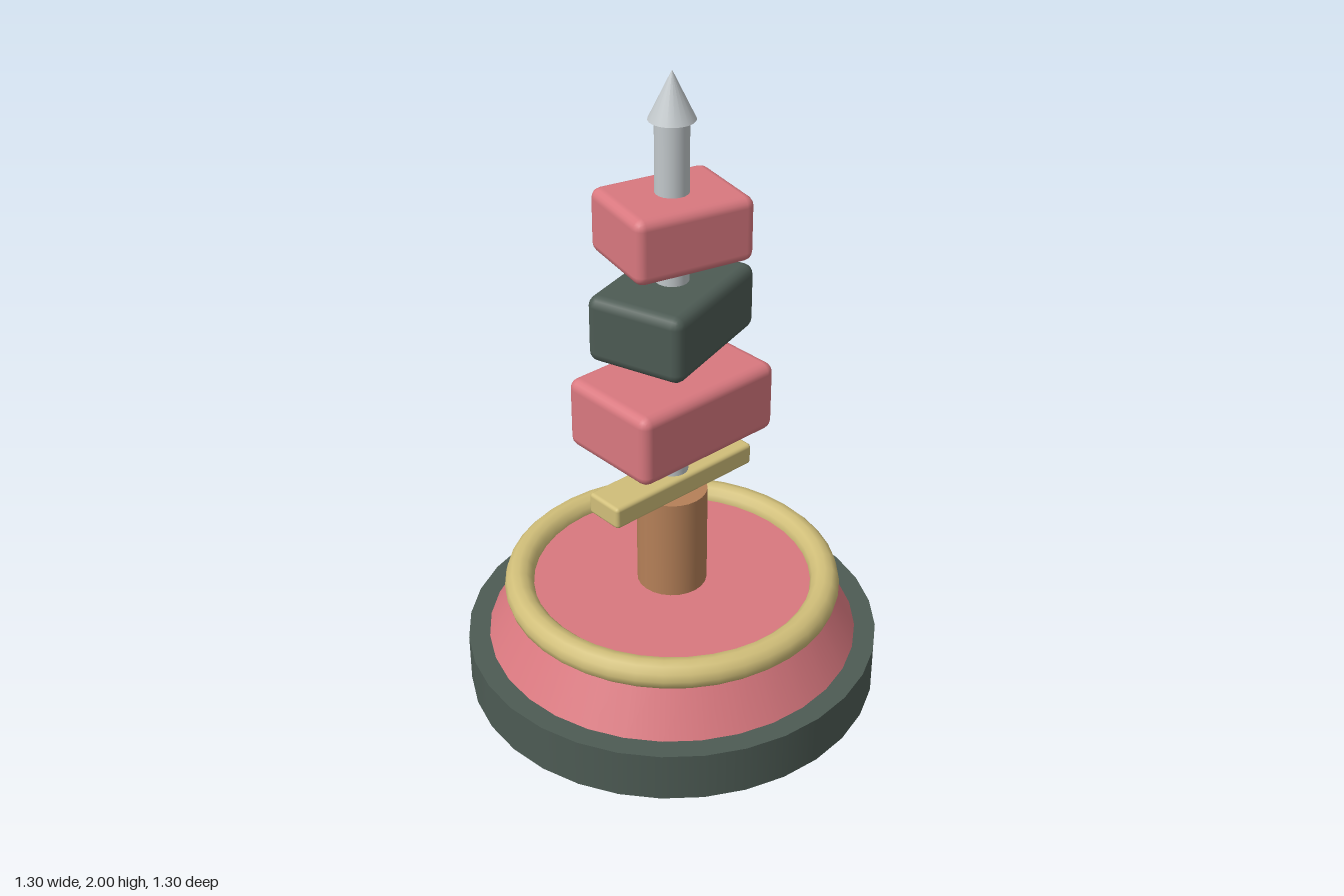
import * as THREE from 'three';
import { RoundedBoxGeometry } from 'three/addons/geometries/RoundedBoxGeometry.js';

export function createModel() {
  const model = new THREE.Group();
  model.name = 'skewerOnStand';

  const material = (name, color) => {
    const m = new THREE.MeshStandardMaterial({ color });
    m.name = name;
    return m;
  };
  const pink = material('pink', 0xd9787f);
  const darkGreen = material('darkGreen', 0x4d5b54);
  const brass = material('brass', 0xd0be79);
  const copper = material('copper', 0xb58058);
  const steel = material('steel', 0xc2c8cb);

  const add = (name, geometry, mat, y) => {
    const mesh = new THREE.Mesh(geometry, mat);
    mesh.name = name;
    mesh.position.y = y;
    model.add(mesh);
    return mesh;
  };
  // Round part between two heights
  const round = (name, mat, rTop, rBottom, y0, y1, sides) =>
    add(name, new THREE.CylinderGeometry(rTop, rBottom, y1 - y0, sides), mat, (y0 + y1) / 2);
  // Bevelled block between two heights, turned about the skewer
  const block = (name, mat, width, depth, y0, y1, bevel, turn = 0) => {
    const geometry = new RoundedBoxGeometry(width, y1 - y0, depth, 2, bevel);
    add(name, geometry, mat, (y0 + y1) / 2).rotation.y = turn;
  };

  // Stand
  round('base', darkGreen, 0.648, 0.648, 0, 0.16, 32);
  round('plinth', pink, 0.48, 0.582, 0.16, 0.335, 32);
  const ring = new THREE.TorusGeometry(0.48, 0.046, 12, 40).rotateX(Math.PI / 2);
  add('rimRing', ring, brass, 0.333);

  // Handle and crossguard
  round('handle', copper, 0.109, 0.109, 0.33, 0.667, 24);
  block('crossguard', brass, 0.55, 0.13, 0.665, 0.736, 0.012);

  // Skewer
  round('rod', steel, 0.05, 0.05, 0.73, 1.87, 20);
  add('tip', new THREE.ConeGeometry(0.068, 0.14, 20), steel, 1.93);

  // Threaded blocks
  block('lowerBlock', pink, 0.52, 0.348, 0.85, 1.076, 0.032);
  block('middleBlock', darkGreen, 0.44, 0.312, 1.168, 1.375, 0.032, 0.3);
  block('upperBlock', pink, 0.376, 0.296, 1.45, 1.647, 0.03, -0.23);

  return model;
}
